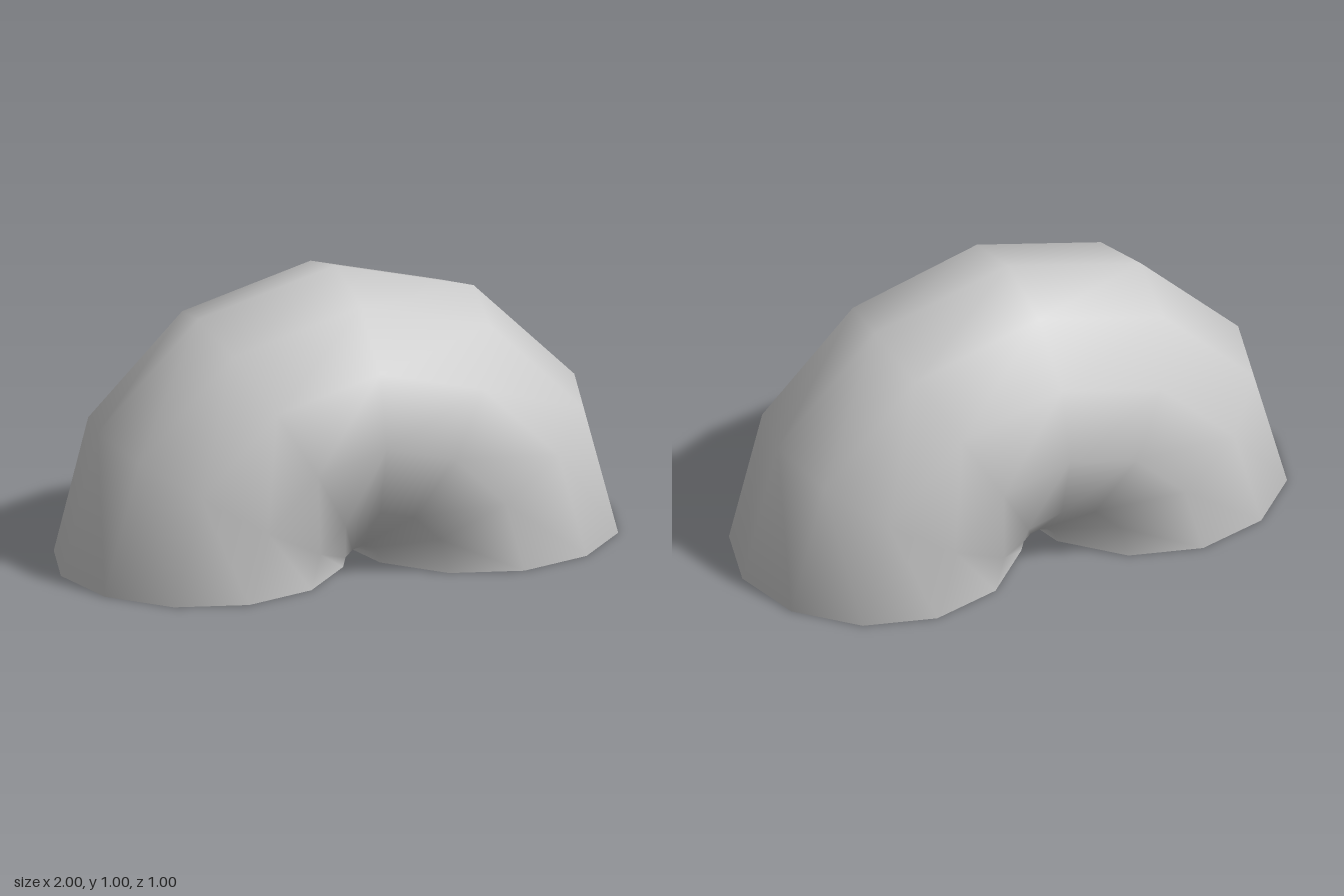
import * as THREE from 'three';

const BEND = 0.5, OUTER = 0.5, INNER = 0.455, SIDES = 12, STEPS = 6;

// Half-circle tube standing on its two open ends
const halfTube = (radius) => new THREE.TorusGeometry(BEND, radius, SIDES, STEPS, Math.PI);

// Turn a geometry inside out: reverse the winding and the normals
function insideOut(geometry) {
  const index = geometry.index.array;
  for (let i = 0; i < index.length; i += 3) {
    [index[i], index[i + 2]] = [index[i + 2], index[i]];
  }
  const normals = geometry.attributes.normal;
  for (let i = 0; i < normals.array.length; i++) normals.array[i] *= -1;
  return geometry;
}

export function createModel() {
  const group = new THREE.Group();
  group.name = 'pipeBend';
  const material = new THREE.MeshStandardMaterial({ color: 0xcccccc });

  const add = (name, geometry, x = 0) => {
    const mesh = new THREE.Mesh(geometry, material);
    mesh.name = name;
    mesh.position.x = x;
    group.add(mesh);
  };

  // Pipe walls
  add('outerWall', halfTube(OUTER));
  add('innerWall', insideOut(halfTube(INNER)));

  // Flat rims facing down, closing the wall thickness at both ends
  for (const [name, side] of [['leftRim', 1], ['rightRim', -1]]) {
    add(name, new THREE.RingGeometry(INNER, OUTER, SIDES).rotateX(Math.PI / 2), side * BEND);
  }
  return group;
}
